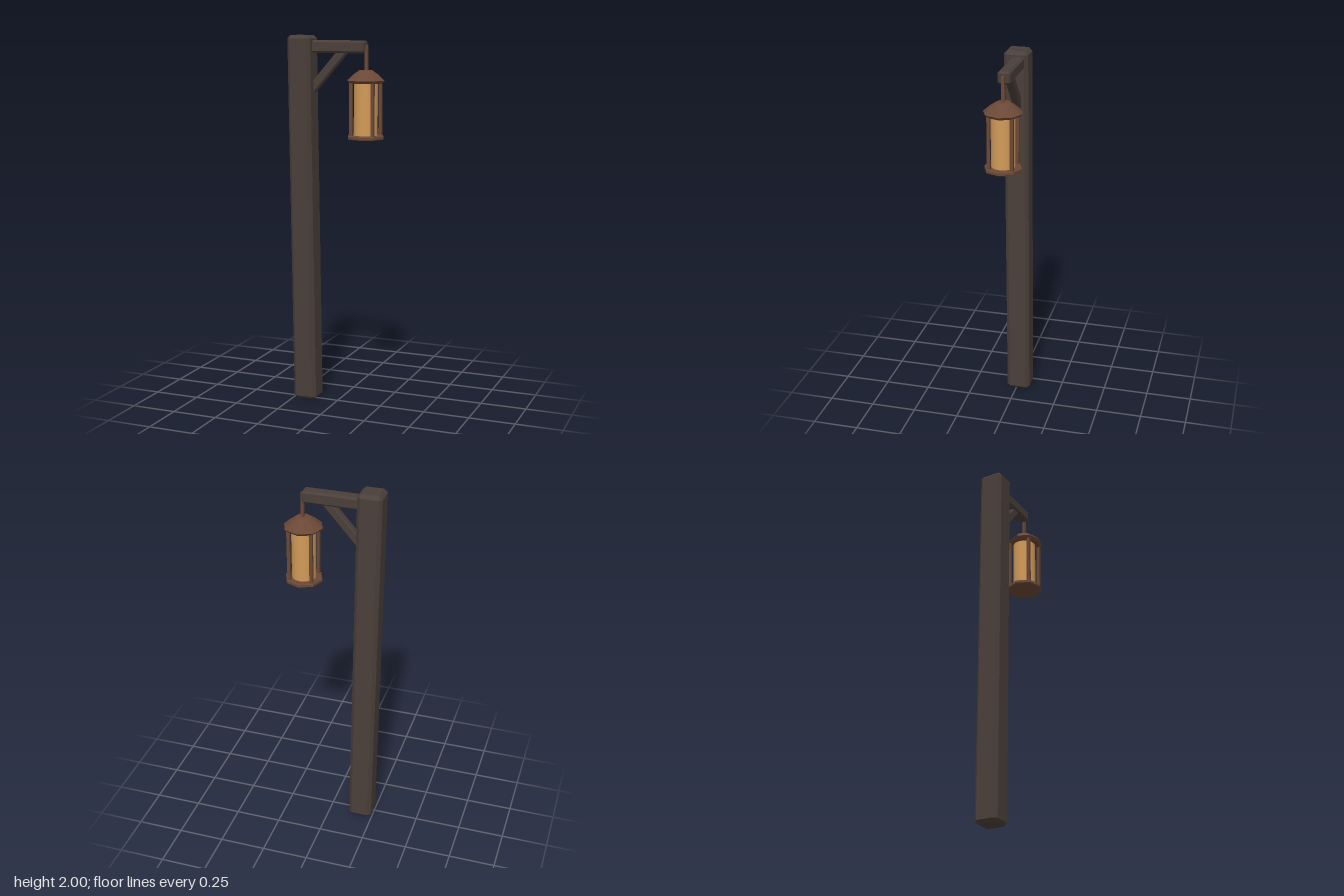
import * as THREE from 'three';
import { ConvexGeometry } from 'three/addons/geometries/ConvexGeometry.js';

const wood = new THREE.MeshStandardMaterial({ color: 0x4a3f3a });
wood.name = 'dark wood';
const metal = new THREE.MeshStandardMaterial({ color: 0x6b4836 });
metal.name = 'brown metal';
const amber = new THREE.MeshStandardMaterial({ color: 0xd29b58 });
amber.name = 'amber glass';

function part(parent, name, geometry, material, x = 0, y = 0, z = 0) {
  const mesh = new THREE.Mesh(geometry, material);
  mesh.name = name;
  mesh.position.set(x, y, z);
  parent.add(mesh);
  return mesh;
}

// Box with every edge chamfered by b
function chamferBox(w, h, d, b) {
  const points = [];
  for (const sx of [-1, 1]) for (const sy of [-1, 1]) for (const sz of [-1, 1]) {
    for (let full = 0; full < 3; full++) {
      const [x, y, z] = [w, h, d].map((s, i) => s / 2 - (i === full ? 0 : b));
      points.push(new THREE.Vector3(sx * x, sy * y, sz * z));
    }
  }
  return new ConvexGeometry(points);
}

// Eight-sided turned surface, profile listed from bottom to top
function turned(profile, flat = false) {
  const geometry = new THREE.LatheGeometry(profile.map(([r, y]) => new THREE.Vector2(r, y)), 8);
  if (!flat) return geometry;
  const faceted = geometry.toNonIndexed();
  faceted.computeVertexNormals();
  return faceted;
}

export function createModel() {
  const model = new THREE.Group();
  model.name = 'lanternPost';

  // Post, leaning slightly back toward its top corner
  const postShape = chamferBox(0.13, 2, 0.13, 0.018);
  const lean = new THREE.Matrix4().set(
    1, -0.009, 0, 0,
    0, 1, 0, 0,
    0, 0.012, 1, 0,
    0, 0, 0, 1);
  postShape.applyMatrix4(lean);
  part(model, 'post', postShape, wood, -0.189, 1, 0);

  // Arm and diagonal brace
  part(model, 'arm', chamferBox(0.317, 0.066, 0.066, 0.01), wood, -0.0005, 1.94, -0.002);
  const from = new THREE.Vector2(-0.15, 1.708), to = new THREE.Vector2(0.04, 1.925);
  const span = to.clone().sub(from);
  const brace = part(model, 'brace', chamferBox(span.length(), 0.046, 0.042, 0.006), wood,
    (from.x + to.x) / 2, (from.y + to.y) / 2, 0);
  brace.rotation.z = span.angle();

  // Hanging rod on the end of the arm
  part(model, 'hangingRod', new THREE.BoxGeometry(0.016, 0.135, 0.016), metal, 0.161, 1.884, -0.001);

  // Lantern
  const lantern = new THREE.Group();
  lantern.name = 'lantern';
  lantern.position.set(0.159, 0, 0);
  model.add(lantern);

  part(lantern, 'roof', turned([[0.104, 1.767], [0.066, 1.8], [0.036, 1.82]]), metal);
  part(lantern, 'roofCap', turned([[0.036, 1.82], [0, 1.822]], true), metal);
  part(lantern, 'roofRim', turned([[0, 1.752], [0.09, 1.752], [0.104, 1.767]], true), metal);
  part(lantern, 'base',
    turned([[0, 1.459], [0.096, 1.459], [0.1, 1.463], [0.1, 1.476], [0.096, 1.48], [0, 1.48]], true), metal);
  part(lantern, 'glass', new THREE.CylinderGeometry(0.063, 0.063, 0.28, 16, 1, true), amber, 0, 1.617, 0);

  // Four corner bars around the glass
  for (const sx of [-1, 1]) for (const sz of [-1, 1]) {
    part(lantern, 'cornerBar', new THREE.BoxGeometry(0.017, 0.28, 0.017), metal, sx * 0.06, 1.617, sz * 0.06);
  }
  return model;
}
